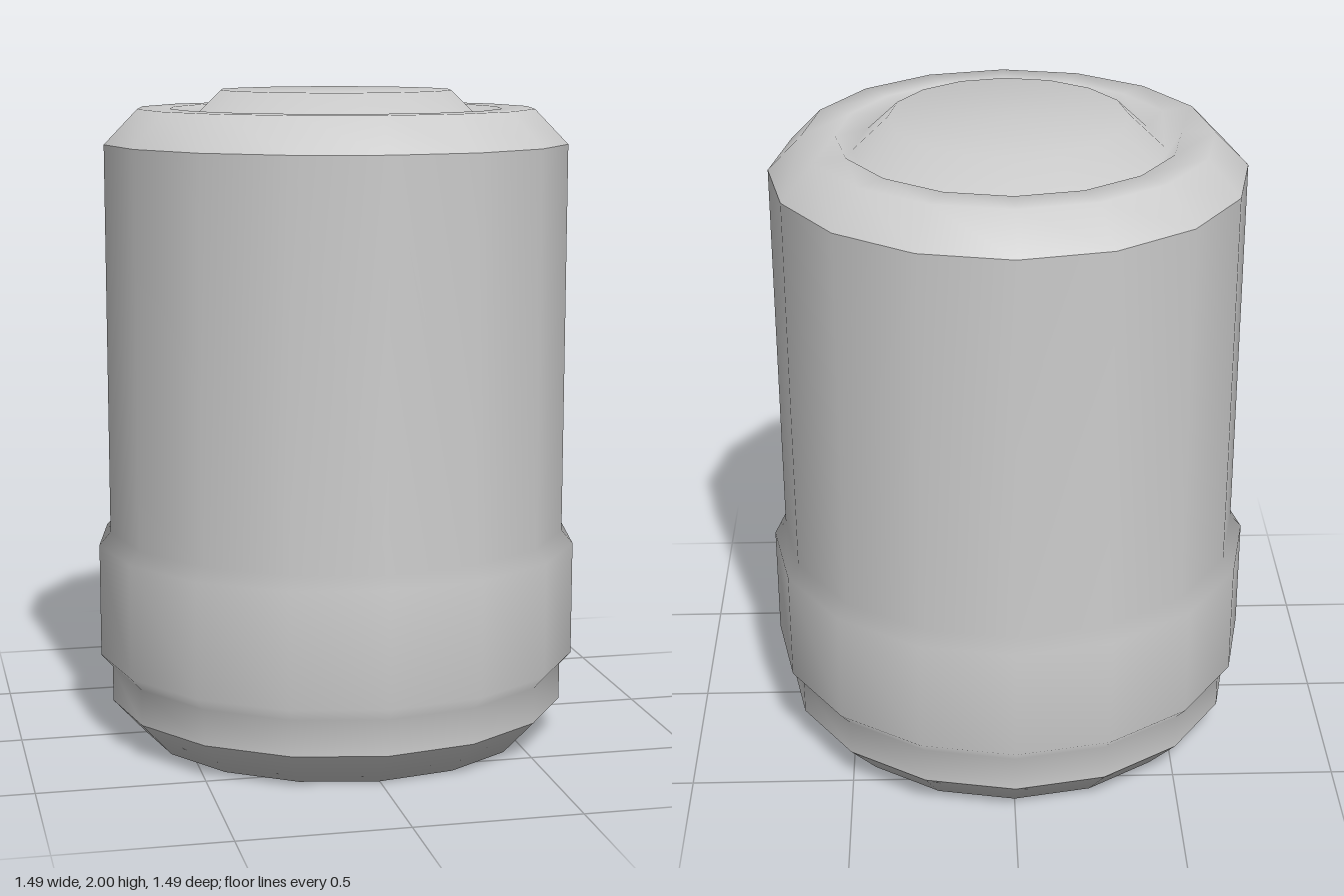
import * as THREE from 'three';

const SIDES = 16;

export function createModel() {
  const group = new THREE.Group();
  group.name = 'canister';
  const material = new THREE.MeshStandardMaterial({ color: 0xcccccc });

  // Revolve a [radius, height] profile; separate profiles meet in a sharp edge
  function turned(name, profile) {
    const points = profile.map(([r, y]) => new THREE.Vector2(r, y));
    const mesh = new THREE.Mesh(new THREE.LatheGeometry(points, SIDES), material);
    mesh.name = name;
    group.add(mesh);
  }

  // Flat base with bevelled edge
  turned('base', [[0, 0], [0.61, 0], [0.712, 0.11]]);

  // Straight wall with a raised band near the bottom
  turned('body', [
    [0.712, 0.11], [0.712, 0.22], [0.747, 0.26],
    [0.747, 0.61], [0.712, 0.65], [0.712, 1.84],
  ]);

  // Bevelled shoulder, rim, shallow groove and raised centre button
  turned('lid', [
    [0.712, 1.84], [0.61, 1.945], [0.51, 1.945],
    [0.46, 1.9], [0.355, 2], [0, 2],
  ]);

  return group;
}
